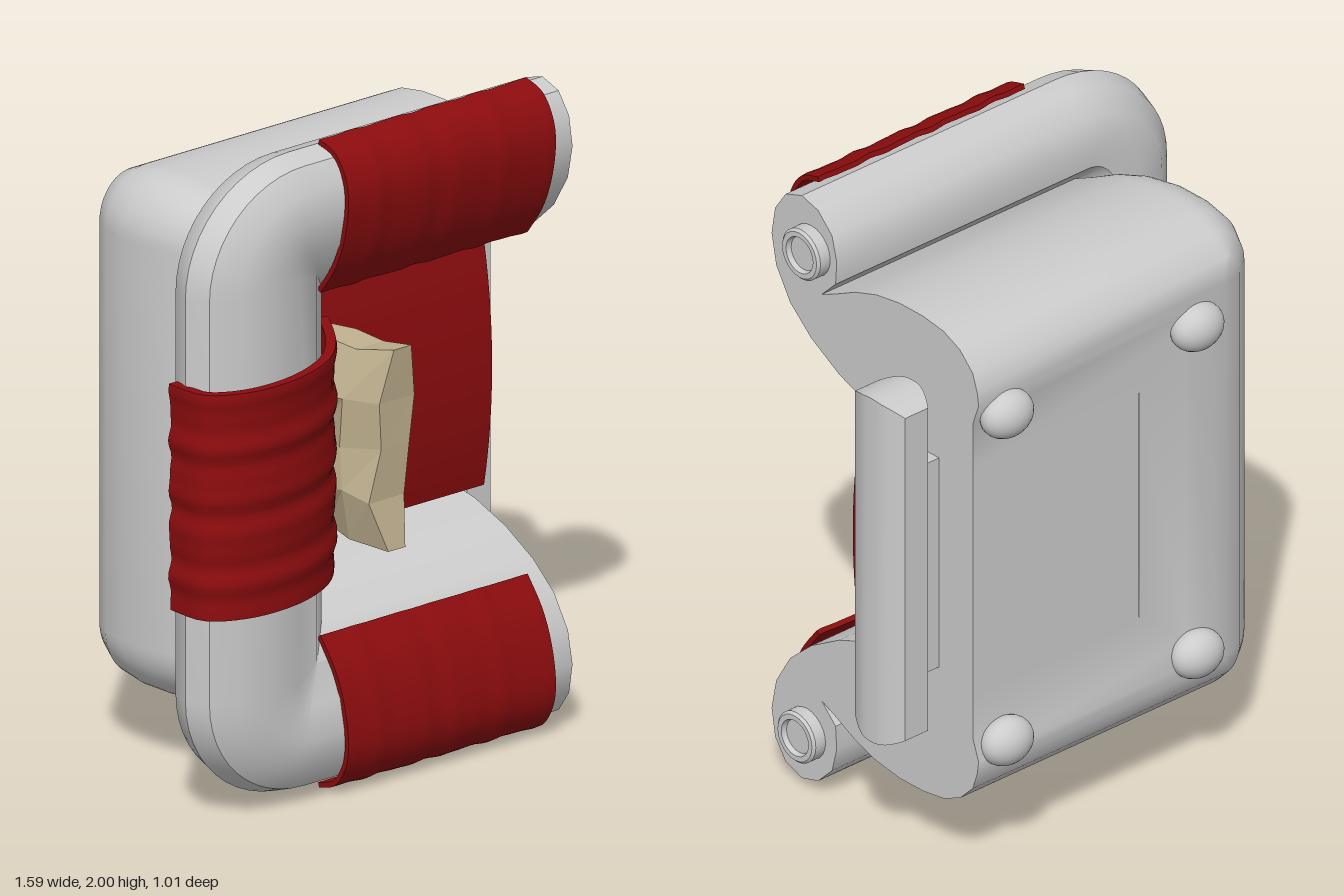
import * as THREE from 'three';
import { toCreasedNormals } from 'three/addons/utils/BufferGeometryUtils.js';

const grey = new THREE.MeshStandardMaterial({ color: 0xcccccc, side: THREE.DoubleSide });
const red = new THREE.MeshStandardMaterial({ color: 0x8c0c0e, side: THREE.DoubleSide });
const tan = new THREE.MeshStandardMaterial({ color: 0xbfb08f, flatShading: true, side: THREE.DoubleSide });

const MID = 1.005, END = 0.62;

// Frame cross-section as [z, y] of the upper arm: back, body, groove, lip, inner slope
const profile = [
  [-0.415, 1.38], [-0.415, 1.53], [-0.44, 1.6], [-0.435, 1.64], [-0.415, 1.7], [-0.36, 1.755],
  [-0.29, 1.787], [-0.2, 1.8], [-0.1, 1.8], [0, 1.785], [0.09, 1.755], [0.17, 1.715], [0.235, 1.685],
  [0.175, 1.745], [0.17, 1.82], [0.19, 1.9], [0.25, 1.96], [0.32, 1.98], [0.39, 1.955], [0.435, 1.89],
  [0.45, 1.8], [0.43, 1.7], [0.37, 1.6], [0.28, 1.52], [0.16, 1.45], [0.03, 1.4], [-0.06, 1.38],
];

function add(group, name, geometry, material, x = 0, y = 0, z = 0) {
  const mesh = new THREE.Mesh(geometry, material);
  mesh.name = name;
  mesh.position.set(x, y, z);
  group.add(mesh);
  return mesh;
}

// Moves every vertex of a geometry by a rule
function warp(geometry, rule) {
  const p = geometry.attributes.position, v = new THREE.Vector3();
  for (let i = 0; i < p.count; i++) {
    rule(v.fromBufferAttribute(p, i));
    p.setXYZ(i, v.x, v.y, v.z);
  }
  geometry.computeVertexNormals();
  return geometry;
}

// U-shaped path for one profile point; corners tighten to a mitre inwards
function framePath(y) {
  const left = -0.77 + 1.23 * (1.98 - y);
  const rx = Math.max(0, -0.37 - left), ry = Math.max(0, y - 1.62);
  const half = [[END, y]];
  for (let i = 0; i <= 12; i++) {
    const a = (i / 12) * Math.PI / 2;
    half.push([left + rx - rx * Math.sin(a), y - ry + ry * Math.cos(a)]);
  }
  return [...half, ...half.slice().reverse().map(([px, py]) => [px, 2 * MID - py])];
}

// Sweeps the profile around the U
function frameGeometry() {
  const pos = [], index = [];
  const paths = profile.map(([, y]) => framePath(y));
  const rows = paths[0].length, cols = profile.length;
  for (let i = 0; i < rows; i++)
    for (let j = 0; j < cols; j++) pos.push(...paths[j][i], profile[j][0]);
  for (let i = 0; i < rows - 1; i++)
    for (let j = 0; j < cols - 1; j++) {
      const a = i * cols + j, b = a + cols;
      index.push(a, b, b + 1, a, b + 1, a + 1);
    }
  const g = new THREE.BufferGeometry();
  g.setAttribute('position', new THREE.Float32BufferAttribute(pos, 3));
  g.setIndex(index);
  return toCreasedNormals(g, 0.6);
}

// Rippled cloth: follows a 2D curve, with place(a, b, l) turning it into 3D
function clothGeometry(points, length, thick, ripple, place) {
  const curve = new THREE.SplineCurve(points.map(p => new THREE.Vector2(...p)));
  const g = warp(new THREE.BoxGeometry(1, 1, 1, 24, 1, 36), v => {
    const t = THREE.MathUtils.clamp(v.x + 0.5, 0, 1);
    const p = curve.getPoint(t), d = curve.getTangent(t);
    const wave = ripple * (Math.sin(v.z * 31) + 0.6 * Math.sin(v.z * 53 + 1));
    const off = (v.y - 0.5) * thick + wave;
    v.set(...place(p.x - d.y * off, p.y + d.x * off, v.z * length));
  });
  return toCreasedNormals(g, 0.7);
}

export function createModel() {
  const model = new THREE.Group();
  model.name = 'clampFrame';

  // Frame, its core and the flat arm ends
  add(model, 'frame', frameGeometry(), grey);
  add(model, 'frameCore', new THREE.BoxGeometry(0.65, 0.75, 0.355), grey, 0.295, MID, -0.2375);
  for (const top of [true, false]) {
    const shape = new THREE.Shape(profile.map(([z, y]) => new THREE.Vector2(-z, top ? y : 2 * MID - y)));
    add(model, top ? 'upperArmEnd' : 'lowerArmEnd', new THREE.ShapeGeometry(shape).rotateY(Math.PI / 2), grey, END);
  }

  // Recessed pegs on the lip ends
  const pegProfile = [[0.082, 0], [0.082, 0.038], [0.074, 0.046], [0.058, 0.046], [0.053, 0.03], [0, 0.03]]
    .map(p => new THREE.Vector2(...p));
  const peg = toCreasedNormals(new THREE.LatheGeometry(pegProfile, 24).rotateZ(-Math.PI / 2), 0.5);
  add(model, 'upperPeg', peg, grey, END, 1.815, 0.28);
  add(model, 'lowerPeg', peg, grey, END, 0.19, 0.3);

  // Domed studs on the back
  const stud = new THREE.SphereGeometry(1, 24, 16).scale(0.09, 0.075, 0.065);
  for (const x of [-0.235, 0.51])
    for (const y of [1.535, 0.44]) add(model, 'backStud', stud, grey, x, y, -0.44);

  // Side bar with curved ends and bevelled long edges
  const bar = warp(new THREE.BoxGeometry(2, 2, 2, 1, 1, 12), v => {
    const side = Math.max(0, Math.abs(v.z) - 0.25) / 0.75;
    v.set(v.x * (0.08 - 0.035 * side ** 1.5), v.y * (0.575 - 0.035 * v.z * v.z), v.z * 0.108);
  });
  add(model, 'sideBar', toCreasedNormals(bar, 0.5), grey, 0.715, MID, -0.17);
  add(model, 'sideBarMount', new THREE.BoxGeometry(0.08, 0.7, 0.2), grey, 0.65, MID, -0.17);

  // Bulging red inner panel
  const panel = warp(new THREE.BoxGeometry(0.68, 0.75, 0.06, 1, 16, 1), v => {
    if (v.z > 0) v.z += 0.035 * (1 - (v.y / 0.375) ** 2);
  });
  add(model, 'innerPanel', toCreasedNormals(panel, 0.5), red, 0.34, MID, -0.03);

  // Cloth wraps on the two arms
  const wrap = [[0.34, 2.0], [0.41, 1.975], [0.455, 1.91], [0.468, 1.83], [0.45, 1.72], [0.41, 1.62], [0.345, 1.53]];
  for (const top of [true, false])
    add(model, top ? 'upperWrap' : 'lowerWrap',
      clothGeometry(wrap, 0.805, 0.016, 0.002, (z, y, l) => [0.136 + l, top ? y : 2 * MID - y, z]), red);

  // Thicker band around the upright
  const band = [[-0.785, 0.27], [-0.783, 0.4], [-0.71, 0.465], [-0.59, 0.492], [-0.44, 0.475],
    [-0.29, 0.41], [-0.17, 0.3], [-0.055, 0.14]];
  add(model, 'uprightBand', clothGeometry(band, 0.695, 0.03, 0.005, (x, z, l) => [x, 1.007 + l, z]), red);

  // Crumpled faceted block with flared corners
  const block = warp(new THREE.BoxGeometry(2, 2, 2, 1, 4, 3), v => {
    const h = Math.abs(v.y), w = Math.abs(v.z);
    const jag = Math.sin(v.x * 3.1 + v.y * 7.3 + v.z * 5.7);
    const width = (h > 0.9 ? 0.055 : h > 0.4 ? 0.115 : 0.09) * (w > 0.9 ? 0.6 : 1);
    const lean = h > 0.4 ? 0.025 * v.y * v.z : 0;
    v.set(
      v.x * width + lean + 0.012 * jag,
      v.y * (0.275 + 0.035 * w * h) + 0.008 * jag,
      v.z * (0.165 + 0.025 * h * h) + 0.008 * jag,
    );
  });
  add(model, 'crumpledBlock', block, tan, -0.022, 1.01, 0.22);

  return model;
}
